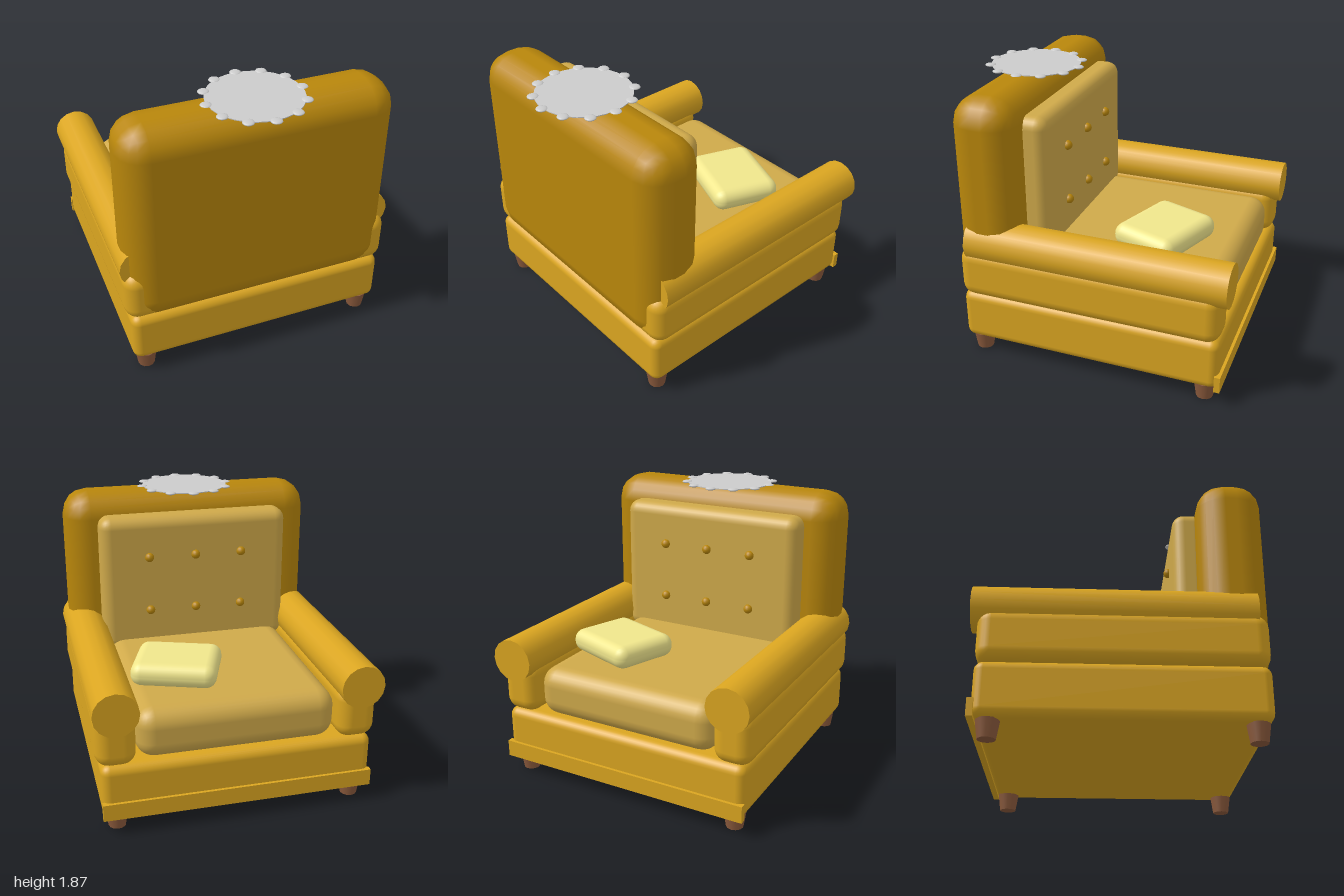
import * as THREE from 'three';
import { RoundedBoxGeometry } from 'three/addons/geometries/RoundedBoxGeometry.js';

const mat = (color) => new THREE.MeshStandardMaterial({ color });

export function createModel() {
  const model = new THREE.Group();
  const gold = mat(0xdaa520), darkGold = mat(0xb8860b), cushion = mat(0xcfa94a);
  const wood = mat(0x8b5a3c), cream = mat(0xf0e68c), grey = mat(0xcccccc);

  const add = (name, geometry, material, x = 0, y = 0, z = 0) => {
    const mesh = new THREE.Mesh(geometry, material);
    mesh.name = name;
    mesh.position.set(x, y, z);
    model.add(mesh);
    return mesh;
  };

  // Rounded block given by its [min, max] range on each axis
  const block = (name, material, [x0, x1], [y0, y1], [z0, z1], radius, segments = 3) =>
    add(name, new RoundedBoxGeometry(x1 - x0, y1 - y0, z1 - z0, segments, radius), material,
      (x0 + x1) / 2, (y0 + y1) / 2, (z0 + z1) / 2);

  // Upholstered body
  block('base', gold, [-0.9, 0.9], [0.115, 0.475], [-0.96, 0.845], 0.06);
  block('backrest', darkGold, [-0.905, 0.905], [0.43, 1.855], [0.43, 0.87], 0.18, 2);
  block('seatCushion', cushion, [-0.66, 0.66], [0.46, 0.8], [-0.925, 0.46], 0.12);
  block('backCushion', cushion, [-0.685, 0.685], [0.72, 1.71], [0.28, 0.5], 0.08);

  // Trim strip along the seat edge
  add('trimStrip', new THREE.BoxGeometry(1.8, 0.115, 0.04), gold, 0, 0.168, -0.96);

  // Arms with rolled tops, and legs, mirrored
  for (const s of [-1, 1]) {
    const side = s > 0 ? 'left' : 'right';
    const arm = block(side + 'Arm', gold, [0.665, 0.928], [0.46, 0.82], [-0.96, 0.845], 0.09);
    arm.position.x *= s;
    const roll = add(side + 'ArmRoll', new THREE.CylinderGeometry(0.147, 0.147, 1.78, 16), gold,
      s * 0.797, 0.855, -0.11);
    roll.rotation.x = Math.PI / 2;
    for (const z of [-0.86, 0.75]) {
      add(side + 'Leg', new THREE.CylinderGeometry(0.075, 0.057, 0.12, 12), wood, s * 0.8, 0.06, z);
    }
  }

  // Tufting buttons on the back cushion
  for (const y of [1.02, 1.42]) {
    for (const x of [-0.34, 0, 0.34]) {
      add('button', new THREE.SphereGeometry(0.033, 12, 8), darkGold, x, y, 0.275);
    }
  }

  // Loose pillow turned on the seat
  const pillow = add('pillow', new RoundedBoxGeometry(0.57, 0.16, 0.48, 3, 0.075), cream, 0.295, 0.88, -0.407);
  pillow.rotation.y = -0.35;

  // Round lace cover with a beaded rim
  const cy = 1.854, cz = 0.645;
  add('laceCover', new THREE.CylinderGeometry(0.31, 0.31, 0.006, 32), grey, 0, cy, cz);
  for (let i = 0; i < 12; i++) {
    const a = (i / 12) * Math.PI * 2;
    const bead = add('laceBead', new THREE.SphereGeometry(0.038, 12, 8), grey,
      Math.sin(a) * 0.315, cy, cz + Math.cos(a) * 0.315);
    bead.scale.y = 0.3;
  }

  return model;
}
